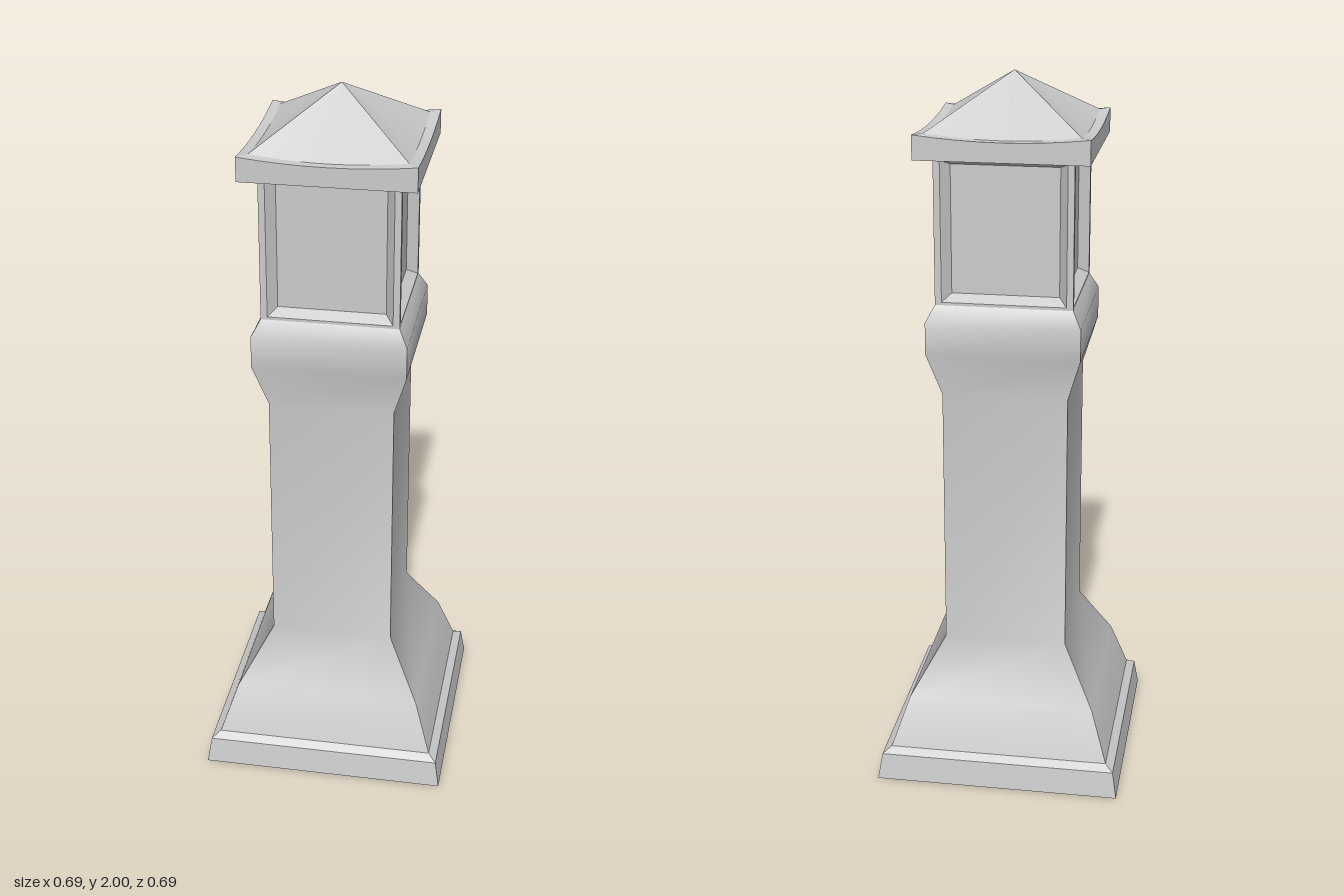
import * as THREE from 'three';

const material = new THREE.MeshStandardMaterial({ color: 0xcccccc });

function makeGeometry(points, index) {
  const geometry = new THREE.BufferGeometry();
  geometry.setAttribute('position', new THREE.Float32BufferAttribute(points, 3));
  geometry.setIndex(index);
  return geometry;
}

// Repeats one front-facing side around the square plan
function fourSides(name, geometries) {
  const group = new THREE.Group();
  group.name = name;
  for (let i = 0; i < 4; i++) {
    geometries.forEach((geometry, j) => {
      const mesh = new THREE.Mesh(geometry, material);
      mesh.name = `${name}Side${i + 1}_${j + 1}`;
      mesh.rotation.y = (i * Math.PI) / 2;
      group.add(mesh);
    });
  }
  return group;
}

// One side of a square loft; rows are [halfWidth, y, sag at mid-edge]
function sideStrip(rows, cols = 1) {
  const points = [], index = [];
  rows.forEach(([half, y, sag = 0], r) => {
    for (let c = 0; c <= cols; c++) {
      const t = (2 * c) / cols - 1;
      points.push(t * half, y - sag * (1 - t * t), half);
      if (r && c) {
        const d = r * (cols + 1) + c, b = d - cols - 1;
        index.push(b - 1, b, d, b - 1, d, d - 1);
      }
    }
  });
  const geometry = makeGeometry(points, index);
  geometry.computeVertexNormals();
  return geometry;
}

// Separate strips, so each ring edge stays sharp
const sharpStrips = (rows, cols) =>
  rows.slice(1).map((row, i) => sideStrip([rows[i], row], cols));

// Nested rectangles [halfWidth, bottom, top, z], closed by the innermost one
function recessedPanel(rects) {
  const points = [], index = [];
  rects.forEach(([w, y0, y1, z], r) => {
    points.push(-w, y0, z, w, y0, z, w, y1, z, -w, y1, z);
    if (!r) return;
    for (let k = 0; k < 4; k++) {
      const a = (r - 1) * 4 + k, b = (r - 1) * 4 + ((k + 1) % 4);
      index.push(a, b, b + 4, a, b + 4, a + 4);
    }
  });
  const n = (rects.length - 1) * 4;
  index.push(n, n + 1, n + 2, n, n + 2, n + 3);
  const geometry = makeGeometry(points, index).toNonIndexed();
  geometry.computeVertexNormals();
  return geometry;
}

export function createModel() {
  const model = new THREE.Group();
  model.name = 'lanternPost';

  // Plinth with chamfered top edge and closed underside
  model.add(fourSides('plinth', sharpStrips([
    [0, 0], [0.347, 0], [0.335, 0.075], [0.312, 0.09],
  ])));

  // Flared foot, straight shaft and swollen collar, smooth along the height
  model.add(fourSides('shaft', [sideStrip([
    [0.312, 0.09], [0.265, 0.23], [0.174, 0.39], [0.174, 1.135],
    [0.212, 1.26], [0.212, 1.35], [0.188, 1.395],
  ])]));

  // Lantern box with a bevelled recess on every face
  model.add(fourSides('lantern', [recessedPanel([
    [0.188, 1.395, 1.8, 0.188], [0.17, 1.403, 1.79, 0.188],
    [0.147, 1.422, 1.775, 0.158],
  ])]));

  // Roof with a vertical fascia and gently sagging eaves
  model.add(fourSides('roof', sharpStrips([
    [0, 1.797], [0.234, 1.797], [0.234, 1.864, 0.014],
    [0.207, 1.864, 0.014], [0, 2],
  ], 8)));

  return model;
}
